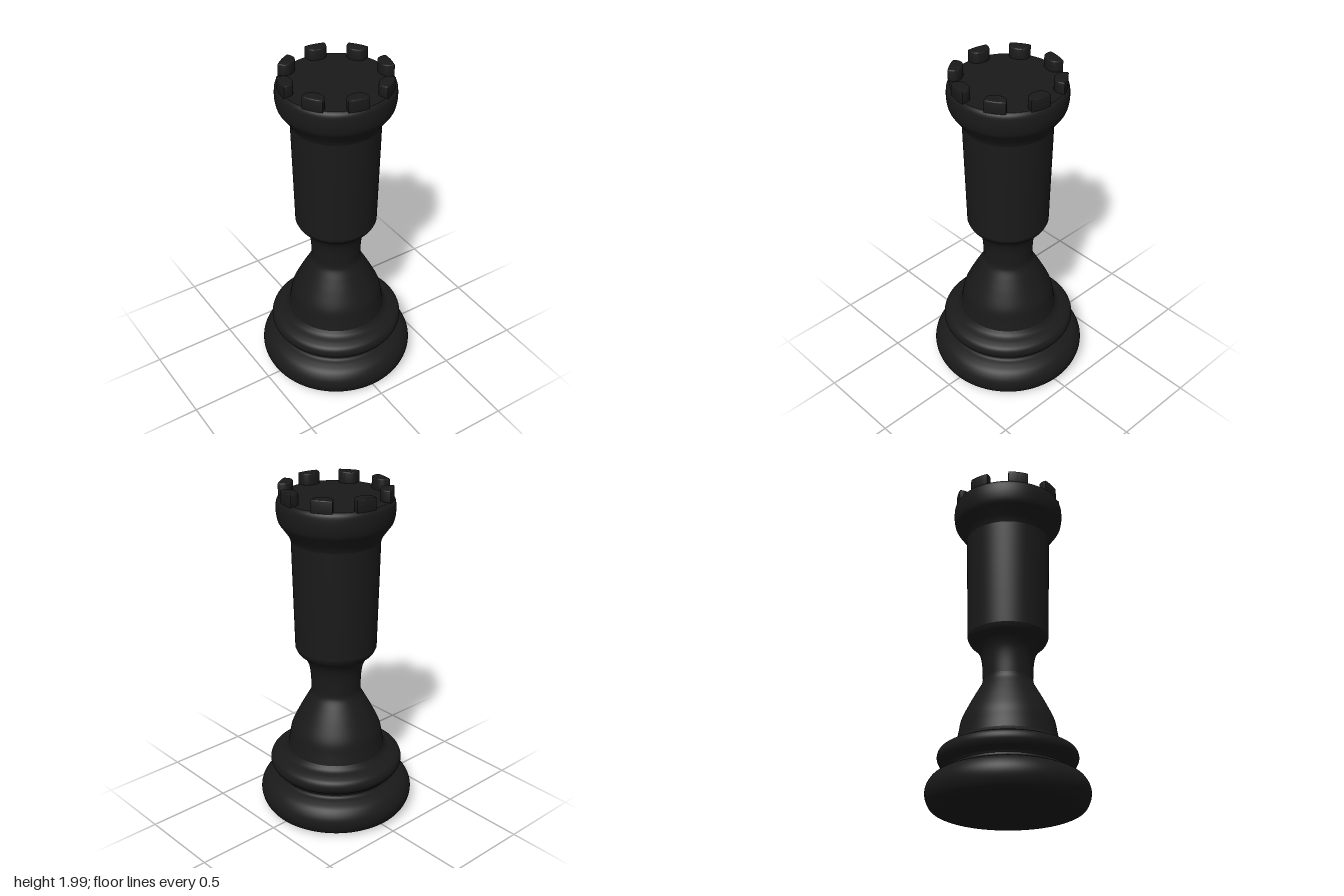
import * as THREE from 'three';
import { toCreasedNormals } from 'three/addons/utils/BufferGeometryUtils.js';

const material = new THREE.MeshStandardMaterial({ color: 0x1a1a1a });

// Turned part: a smooth curve through [radius, height] points, with optional flat caps
function turned(name, points, samples, { bottom, top } = {}) {
  const group = new THREE.Group();
  group.name = name;
  const curve = new THREE.SplineCurve(points.map(([r, y]) => new THREE.Vector2(r, y)));
  const add = (profile) => group.add(new THREE.Mesh(new THREE.LatheGeometry(profile, 96), material));
  const profile = curve.getPoints(samples);
  add(profile);
  if (bottom !== undefined) add([new THREE.Vector2(0, bottom), profile[0]]);
  if (top !== undefined) add([profile[samples], new THREE.Vector2(0, top)]);
  return group;
}

// D-shaped battlement: outer side follows the rim, inner side is rounded
function merlonGeometry() {
  const bevel = 0.006, rim = 0.316 - bevel, half = 0.17;
  const shape = new THREE.Shape();
  shape.absarc(0, 0, rim, -half, half, false);
  const x = rim * Math.cos(half), y = rim * Math.sin(half);
  shape.bezierCurveTo(x - 0.035, y + 0.002, 0.251, 0.04, 0.251, 0);
  shape.bezierCurveTo(0.251, -0.04, x - 0.035, -y - 0.002, x, -y);
  const geometry = new THREE.ExtrudeGeometry(shape, {
    depth: 0.07, bevelEnabled: true, bevelSize: bevel, bevelThickness: bevel, bevelSegments: 3, curveSegments: 12,
  });
  geometry.rotateX(-Math.PI / 2);
  return toCreasedNormals(geometry, 0.7);
}

export function createModel() {
  const model = new THREE.Group();
  model.name = 'rookChessPiece';

  // Foot: heavy rounded base and the ring above it
  model.add(turned('base', [
    [0.40, 0.015], [0.427, 0.03], [0.447, 0.065], [0.455, 0.105],
    [0.447, 0.145], [0.42, 0.185], [0.38, 0.208], [0.35, 0.22], [0.342, 0.235],
  ], 32, { bottom: 0.005 }));
  model.add(turned('baseRing', [
    [0.342, 0.235], [0.35, 0.25], [0.377, 0.27], [0.393, 0.305],
    [0.383, 0.34], [0.35, 0.36], [0.31, 0.375], [0.288, 0.40],
  ], 32));

  // Flared skirt and narrow neck
  model.add(turned('skirt', [
    [0.288, 0.40], [0.277, 0.455], [0.262, 0.53], [0.22, 0.62], [0.18, 0.695], [0.15, 0.75], [0.144, 0.78],
  ], 28));
  model.add(turned('neck', [
    [0.144, 0.78], [0.148, 0.87], [0.16, 0.935], [0.187, 0.985], [0.22, 1.015], [0.235, 1.045],
  ], 24));

  // Tower shaft, slightly wider at the top
  model.add(turned('shaft', [[0.235, 1.045], [0.24, 1.26], [0.245, 1.47], [0.25, 1.69]], 12));

  // Crown with a flat top
  model.add(turned('crown', [
    [0.25, 1.69], [0.264, 1.72], [0.295, 1.765], [0.318, 1.80], [0.328, 1.85],
    [0.327, 1.90], [0.32, 1.922], [0.308, 1.933],
  ], 28, { top: 1.933 }));

  // Eight battlements around the rim
  const geometry = merlonGeometry();
  for (let i = 0; i < 8; i++) {
    const merlon = new THREE.Mesh(geometry, material);
    merlon.name = 'battlement' + (i + 1);
    merlon.position.y = 1.922;
    merlon.rotation.y = -(0.197 + i * Math.PI / 4);
    model.add(merlon);
  }
  return model;
}
